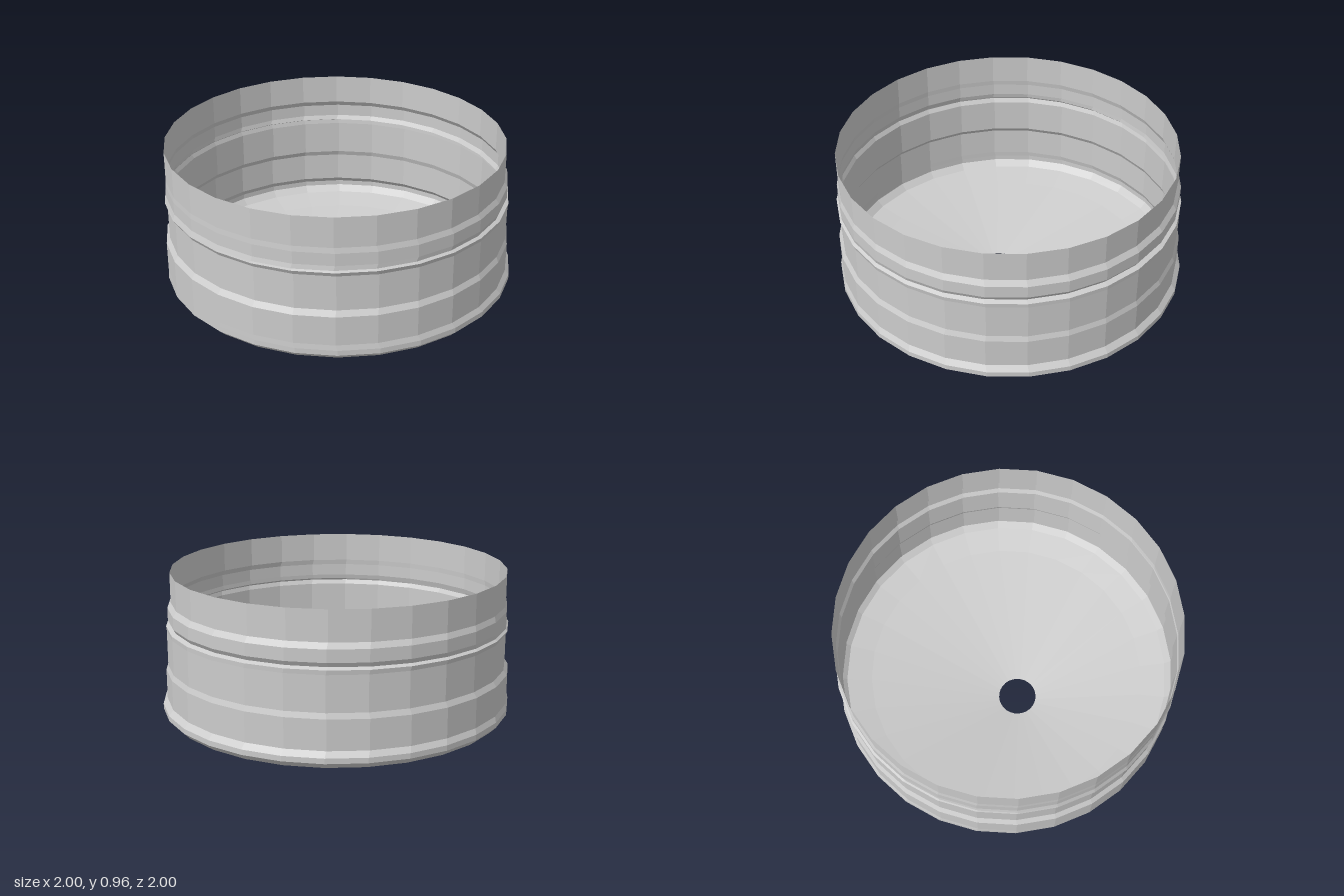
import * as THREE from 'three';

const SIDES = 28;
const PHASE = THREE.MathUtils.degToRad(2);

// Skin a stack of circular rings [y, centre x, radius] as an open shell
function ringShell(rings) {
  const pos = [], index = [];
  for (const [y, cx, r] of rings) {
    for (let i = 0; i < SIDES; i++) {
      const a = PHASE + (i / SIDES) * Math.PI * 2;
      pos.push(cx + r * Math.cos(a), y, r * Math.sin(a));
    }
  }
  for (let k = 0; k < rings.length - 1; k++) {
    for (let i = 0; i < SIDES; i++) {
      const j = (i + 1) % SIDES;
      const a = k * SIDES + i, b = k * SIDES + j;
      const c = a + SIDES, d = b + SIDES;
      index.push(a, b, c, b, d, c); // rings run from top to bottom
    }
  }
  const g = new THREE.BufferGeometry();
  g.setAttribute('position', new THREE.Float32BufferAttribute(pos, 3));
  g.setIndex(index);
  g.computeVertexNormals();
  return g;
}

export function createModel() {
  const group = new THREE.Group();
  group.name = 'steppedPan';
  const material = new THREE.MeshStandardMaterial({
    color: 0xcccccc, flatShading: true, side: THREE.DoubleSide,
  });
  const add = (name, rings) => {
    const mesh = new THREE.Mesh(ringShell(rings), material);
    mesh.name = name;
    group.add(mesh);
  };

  // Stepped wall, its bands slightly off centre
  add('wall', [
    [0.96, -0.025, 0.955],
    [0.79, -0.025, 0.955],
    [0.76, -0.015, 0.967],
    [0.69, -0.015, 0.967],
    [0.665, -0.027, 0.963],
    [0.655, -0.015, 0.978],
    [0.63, -0.008, 0.97],
    [0.43, -0.008, 0.97],
    [0.4, -0.014, 0.986],
    [0.23, -0.014, 0.986],
    [0.2, 0, 1],
    [0.17, 0, 1],
  ]);

  // Bevelled lower edge
  add('lowerEdge', [
    [0.17, 0, 1],
    [0.135, 0, 0.965],
    [0.105, 0, 0.82],
  ]);

  // Shallow funnel floor down to the off-centre drain hole
  add('funnelFloor', [
    [0.105, 0, 0.82],
    [0, -0.135, 0.112],
  ]);

  return group;
}
